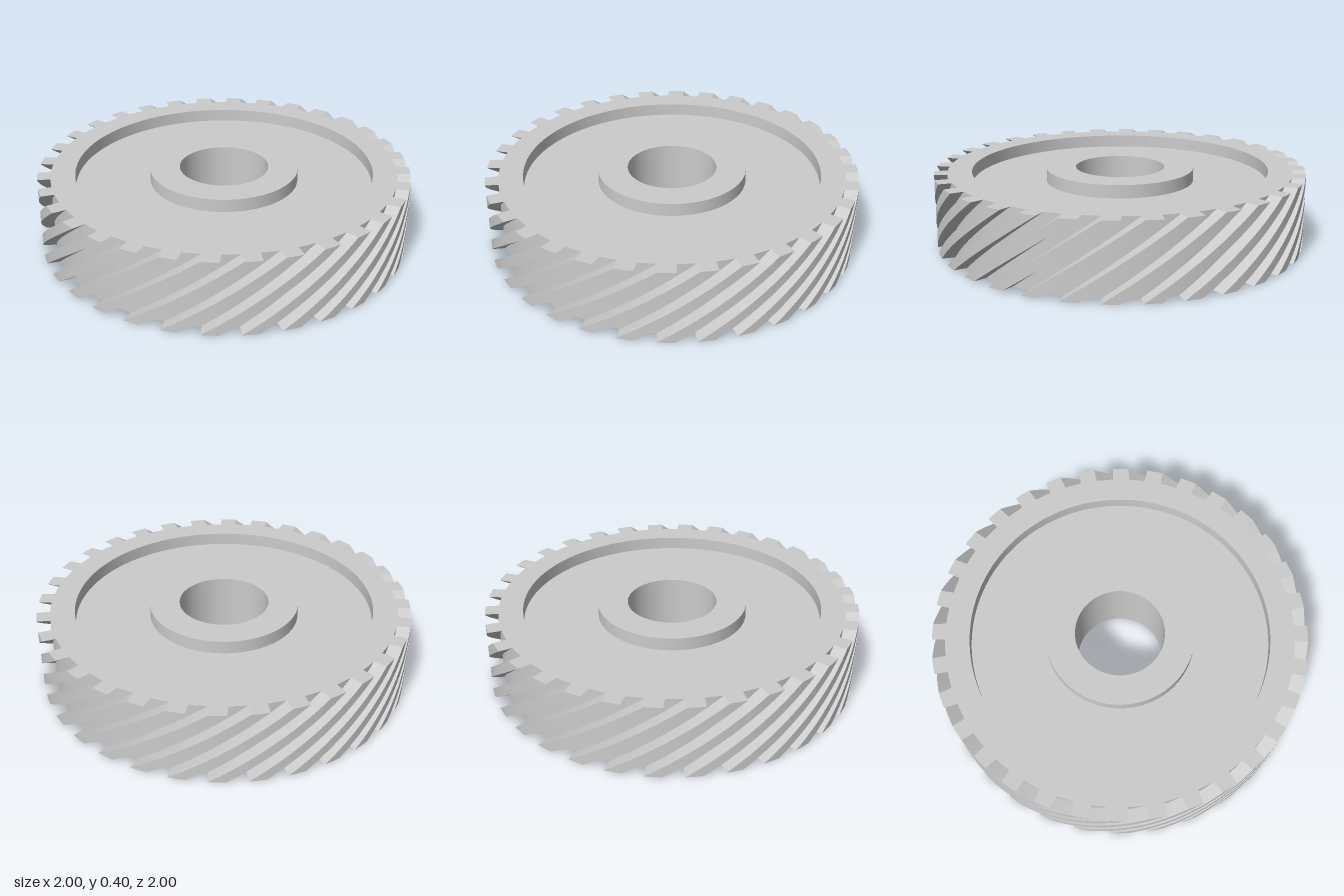
import * as THREE from 'three';
import { toCreasedNormals } from 'three/addons/utils/BufferGeometryUtils.js';

const HEIGHT = 0.4, TEETH = 32, TIP = 1, ROOT = 0.93, RIM_INNER = 0.8;
const HUB = 0.4, BORE = 0.24, RECESS = 0.07;
const TWIST = THREE.MathUtils.degToRad(34);

const material = new THREE.MeshStandardMaterial({ color: 0xcccccc });

function addPart(group, name, geometry) {
  const mesh = new THREE.Mesh(toCreasedNormals(geometry, 0.45), material);
  mesh.name = name;
  group.add(mesh);
}

// Gear outline: each pitch is a slightly tapered gap followed by a tooth
function gearShape() {
  const points = [];
  const put = (deg, r) => {
    const a = THREE.MathUtils.degToRad(deg);
    points.push(new THREE.Vector2(Math.sin(a) * r, -Math.cos(a) * r));
  };
  const pitch = 360 / TEETH;
  for (let i = 0; i < TEETH; i++) {
    const gap = 4.3 + i * pitch;
    for (const d of [-2.8, 0, 2.8]) put(gap + d, ROOT);
    for (const d of [3.1, pitch / 2, pitch - 3.1]) put(gap + d, TIP);
  }
  const shape = new THREE.Shape(points);
  shape.holes.push(new THREE.Path().absarc(0, 0, RIM_INNER, 0, Math.PI * 2, true));
  return shape;
}

// Toothed rim: extruded upward, then twisted into a helix
function toothedRim() {
  const geometry = new THREE.ExtrudeGeometry(gearShape(), {
    depth: HEIGHT, steps: 20, bevelEnabled: false, curveSegments: 96,
  });
  geometry.rotateX(-Math.PI / 2);
  const pos = geometry.attributes.position;
  const up = new THREE.Vector3(0, 1, 0);
  const v = new THREE.Vector3();
  for (let i = 0; i < pos.count; i++) {
    v.fromBufferAttribute(pos, i);
    v.applyAxisAngle(up, (v.y / HEIGHT - 1) * TWIST);
    pos.setXYZ(i, v.x, v.y, v.z);
  }
  return geometry;
}

// Recessed web with a flush hub and a through bore
function webAndHub() {
  const low = RECESS, high = HEIGHT - RECESS, outer = RIM_INNER + 0.01;
  const profile = [
    [BORE, 0], [HUB, 0], [HUB, low], [outer, low],
    [outer, high], [HUB, high], [HUB, HEIGHT], [BORE, HEIGHT], [BORE, 0],
  ].map(([r, y]) => new THREE.Vector2(r, y));
  return new THREE.LatheGeometry(profile, 96);
}

export function createModel() {
  const gear = new THREE.Group();
  gear.name = 'helicalGear';
  addPart(gear, 'toothedRim', toothedRim());
  addPart(gear, 'webAndHub', webAndHub());
  return gear;
}
